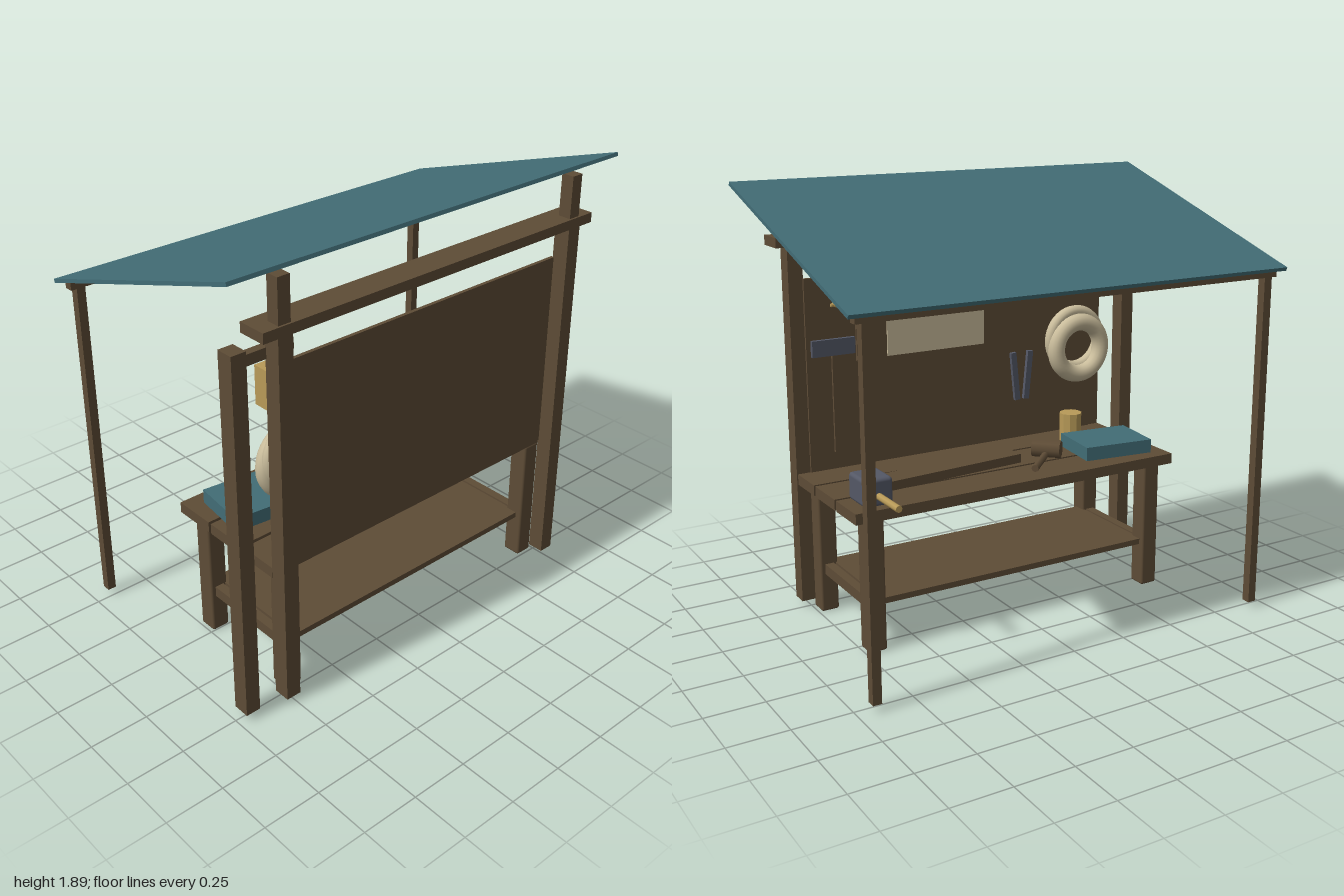
import * as THREE from 'three';
import { RoundedBoxGeometry } from 'three/addons/geometries/RoundedBoxGeometry.js';

const paint = (name, color) => Object.assign(new THREE.MeshStandardMaterial({ color }), { name });

export function createModel() {
  const model = new THREE.Group();
  model.name = 'workbenchShelter';
  const wood = paint('darkWood', 0x5e4c36);
  const teal = paint('teal', 0x426d76);
  const gold = paint('paleWood', 0xb89a58);
  const steel = paint('steel', 0x545866);
  const cream = paint('cream', 0xcabd9c);

  const add = (name, geometry, material, x, y, z, parent = model) => {
    const mesh = new THREE.Mesh(geometry, material);
    mesh.name = name;
    mesh.position.set(x, y, z);
    parent.add(mesh);
    return mesh;
  };
  // box given by its lower and upper limits on each axis
  const span = (name, material, [x0, x1], [y0, y1], [z0, z1], round = 0) => {
    const size = [x1 - x0, y1 - y0, z1 - z0];
    const geometry = round ? new RoundedBoxGeometry(...size, 2, round) : new THREE.BoxGeometry(...size);
    return add(name, geometry, material, (x0 + x1) / 2, (y0 + y1) / 2, (z0 + z1) / 2);
  };
  const rod = (r, length, sides = 8) => new THREE.CylinderGeometry(r, r, length, sides).toNonIndexed();

  // sloping roof
  add('roof', new THREE.BoxGeometry(2, 0.016, 1.195), teal, 0, 1.703, 0).rotation.x = -0.306;

  // posts and beams
  for (const s of [-1, 1]) {
    const side = (a, b) => [Math.min(s * a, s * b), Math.max(s * a, s * b)];
    span('frontPost', wood, side(0.727, 0.793), [0.03, 1.63], [0.495, 0.568]);
    span('frontPostTop', wood, side(0.732, 0.787), [1.62, 1.845], [0.505, 0.563]);
    span('rearPost', wood, side(0.902, 0.94), [0.03, 1.5], [-0.547, -0.508]);
    // bench legs and end rails
    span('benchLeg', wood, side(0.655, 0.737), [0, 0.582], [0.405, 0.49], 0.01);
    span('benchLeg', wood, side(0.655, 0.737), [0, 0.582], [-0.085, 0], 0.01);
    span('endRail', wood, side(0.675, 0.715), [0.175, 0.222], [-0.01, 0.41]);
  }
  span('headerBeam', wood, [-0.86, 0.86], [1.623, 1.665], [0.445, 0.572]);
  span('rearBeam', wood, [-0.965, 0.965], [1.49, 1.528], [-0.547, -0.508]);
  span('sidePost', wood, [-0.97, -0.905], [0.03, 1.6], [0.461, 0.535]);
  span('sideBeam', wood, [-0.925, -0.67], [1.52, 1.565], [0.465, 0.5]);

  // tool panel
  span('toolPanel', wood, [-0.73, 0.73], [0.6, 1.48], [0.484, 0.5]);

  // bench top and shelf
  for (const z of [[0.315, 0.49], [0.1, 0.3], [-0.108, 0.085]]) {
    span('benchPlank', wood, [-0.79, 0.79], [0.58, 0.627], z);
  }
  span('lowerShelf', wood, [-0.665, 0.665], [0.196, 0.222], [-0.06, 0.46]);

  // sledge hammer on the bench
  span('sledgeHead', steel, [0.61, 0.74], [0.632, 0.75], [-0.085, 0.07], 0.016);
  add('sledgeHandle', rod(0.015, 0.24), gold, 0.675, 0.676, -0.145).rotation.x = Math.PI / 2;

  // loose board
  add('looseBoard', new THREE.BoxGeometry(0.71, 0.04, 0.115), wood, 0.23, 0.648, 0.16).rotation.y = 0.08;

  // wooden mallet
  const mallet = new THREE.Group();
  mallet.name = 'mallet';
  mallet.position.set(-0.27, 0.668, 0.14);
  mallet.rotation.y = -Math.PI * 0.75;
  model.add(mallet);
  add('malletHead', rod(0.041, 0.13), wood, 0, 0, 0, mallet).rotation.x = Math.PI / 2;
  add('malletHandle', rod(0.016, 0.24), wood, -0.12, -0.02, 0, mallet).rotation.z = Math.PI / 2;

  // case and cup
  add('flatCase', new THREE.BoxGeometry(0.33, 0.062, 0.26), teal, -0.57, 0.658, 0.104).rotation.y = -0.12;
  const cup = add('cup', rod(0.053, 0.135, 10), gold, -0.52, 0.692, 0.323);
  cup.geometry.computeVertexNormals();

  // lantern block behind the post
  span('lantern', gold, [-0.79, -0.706], [1.31, 1.468], [0.425, 0.5025]);

  // rope coil
  add('ropeCoil', new THREE.TorusGeometry(0.125, 0.041, 14, 40), cream, -0.64, 1.035, 0.441);
  add('ropeCoilBack', new THREE.TorusGeometry(0.135, 0.028, 12, 40), cream, -0.635, 1.075, 0.468);

  // hanging hammer
  span('hammerHead', steel, [0.51, 0.71], [1.14, 1.212], [0.465, 0.49]);
  span('hammerHandle', wood, [0.583, 0.617], [0.705, 1.15], [0.472, 0.49]);

  // tongs
  for (const s of [-1, 1]) {
    add('tongBar', new THREE.BoxGeometry(0.028, 0.23, 0.018), steel, -0.34 + s * 0.035, 0.93, 0.475).rotation.z = s * -0.1;
  }

  // pinned sheet and small board
  span('pinnedSheet', cream, [-0.14, 0.35], [1.105, 1.275], [0.478, 0.486]);
  span('smallBoard', wood, [0.37, 0.5], [1.1, 1.3], [0.472, 0.486]);

  // pegs
  for (const x of [0.6, 0.14, -0.31]) {
    add('peg', rod(0.009, 0.045, 6), gold, x, 1.36, 0.47).rotation.x = Math.PI / 2;
    add('pegBar', rod(0.008, 0.04, 6), gold, x, 1.36, 0.462).rotation.z = Math.PI / 2;
  }
  return model;
}
